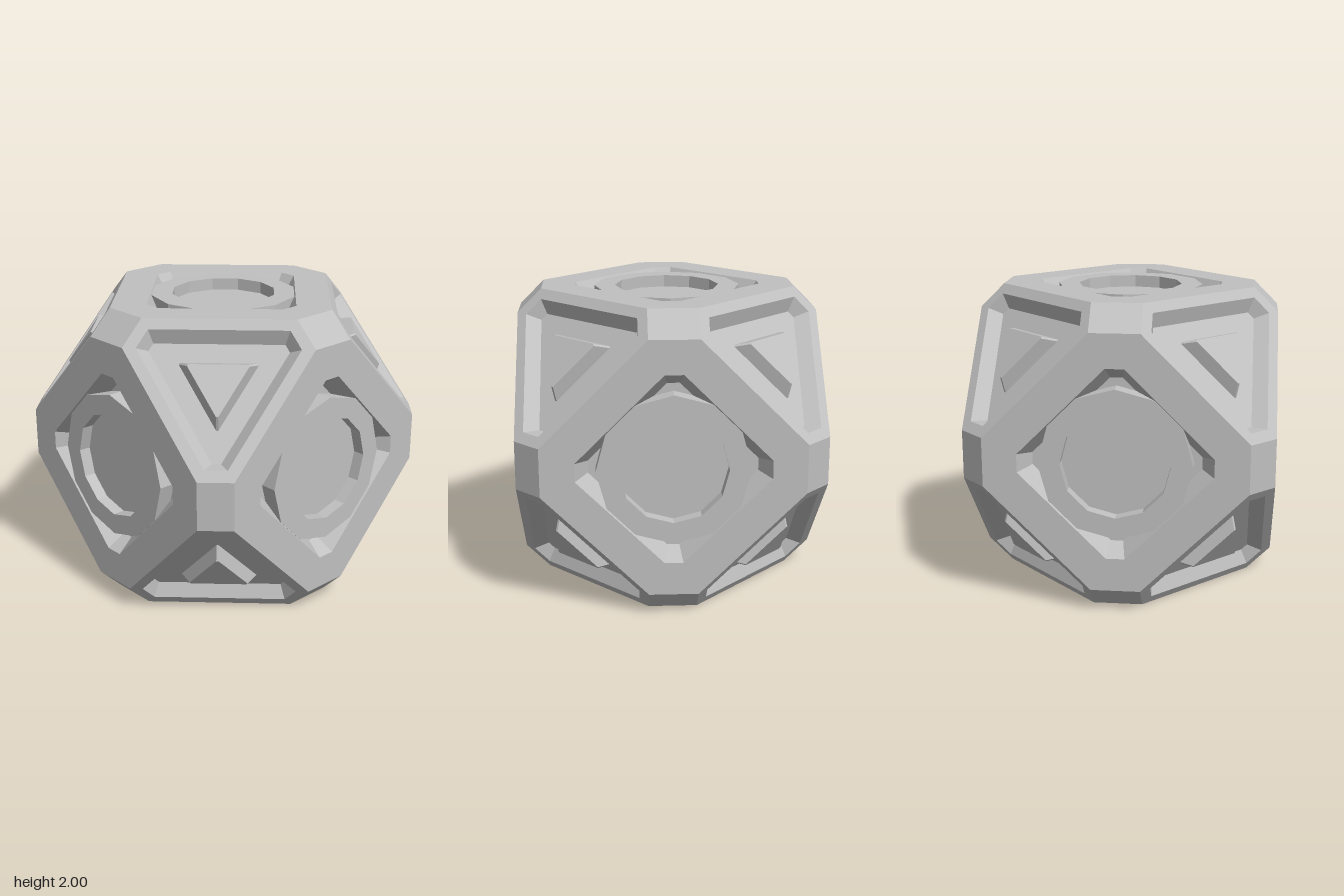
import * as THREE from 'three';

const grey = new THREE.MeshStandardMaterial({ color: 0xc0c0c0, flatShading: true });
grey.name = 'plain grey';

// Faceted surface through successive loops (counter-clockwise from outside), optionally capped
function loft(loops, cap) {
  const pos = [];
  const tri = (a, b, c) => pos.push(...a, ...b, ...c);
  for (let k = 0; k + 1 < loops.length; k++) {
    const o = loops[k], n = loops[k + 1];
    o.forEach((p, i) => {
      const j = (i + 1) % o.length;
      tri(p, o[j], n[j]);
      tri(p, n[j], n[i]);
    });
  }
  if (cap) {
    const l = loops[loops.length - 1];
    for (let i = 1; i + 1 < l.length; i++) tri(l[0], l[i], l[i + 1]);
  }
  const g = new THREE.BufferGeometry();
  g.setAttribute('position', new THREE.Float32BufferAttribute(pos, 3));
  g.computeVertexNormals();
  return g;
}

// Truncated diamond facing +z
const octagon = (a, b, z) => [
  [b, -a, z], [b, a, z], [a, b, z], [-a, b, z],
  [-b, a, z], [-b, -a, z], [-a, -b, z], [a, -b, z],
];

// Truncated triangle facing (1, 1, 1)
const hexagon = (a, b, c) => [
  [a, b, c], [b, a, c], [c, a, b], [c, b, a], [b, c, a], [a, c, b],
];

function part(name, geometry) {
  const m = new THREE.Mesh(geometry, grey);
  m.name = name;
  return m;
}

function ringGeometry() {
  const circle = (r) => Array.from({ length: 12 }, (_, i) =>
    new THREE.Vector2(r * Math.cos(i * Math.PI / 6), r * Math.sin(i * Math.PI / 6)));
  const s = new THREE.Shape(circle(0.49));
  s.holes.push(new THREE.Path(circle(0.35)));
  return new THREE.ExtrudeGeometry(s, { depth: 0.12, bevelEnabled: false }).translate(0, 0, 0.87);
}

export function createModel() {
  const model = new THREE.Group();
  model.name = 'facetedPolyhedron';
  const body = new THREE.Group();
  body.name = 'body';
  body.position.y = 1;
  model.add(body);
  const Q = Math.PI / 2;

  // Six square sides: recessed panel, raised ring and inner disc
  const panel = loft([octagon(0.16, 0.84, 1), octagon(0.06, 0.62, 1), octagon(0.04, 0.54, 0.88)], true);
  const ring = ringGeometry();
  const disc = new THREE.CircleGeometry(0.36, 12).translate(0, 0, 0.91);
  const turns = [[0, 0], [0, Q], [0, 2 * Q], [0, 3 * Q], [Q, 0], [-Q, 0]];
  for (const [rx, ry] of turns) {
    const side = new THREE.Group();
    side.name = 'squareSide';
    side.rotation.set(rx, ry, 0);
    side.add(part('recessedPanel', panel), part('ring', ring), part('ringFloor', disc));
    body.add(side);
  }

  // Eight triangular corners: sunken trough around a raised island
  const trough = loft([hexagon(0.16, 0.84, 1), hexagon(0.22, 0.84, 0.94), hexagon(0.22, 0.8, 0.84)], true);
  const island = loft([hexagon(0.39, 0.73, 0.74), hexagon(0.49, 0.75, 0.76)], true);
  for (const flip of [0, Math.PI]) {
    for (let k = 0; k < 4; k++) {
      const corner = new THREE.Group();
      corner.name = 'triangleSide';
      corner.rotation.set(flip, k * Q, 0);
      corner.add(part('trianglePanel', trough), part('triangleIsland', island));
      body.add(corner);
    }
  }

  // Twelve small square facets, four around each axis
  const facet = loft([[[-0.16, 0.84, 1], [0.16, 0.84, 1], [0.16, 1, 0.84], [-0.16, 1, 0.84]]], true);
  for (const [ry, rz] of [[0, 0], [Q, 0], [0, Q]]) {
    const belt = new THREE.Group();
    belt.name = 'facetBelt';
    belt.rotation.set(0, ry, rz);
    for (let k = 0; k < 4; k++) {
      const f = part('smallFacet', facet);
      f.rotation.x = k * Q;
      belt.add(f);
    }
    body.add(belt);
  }
  return model;
}
